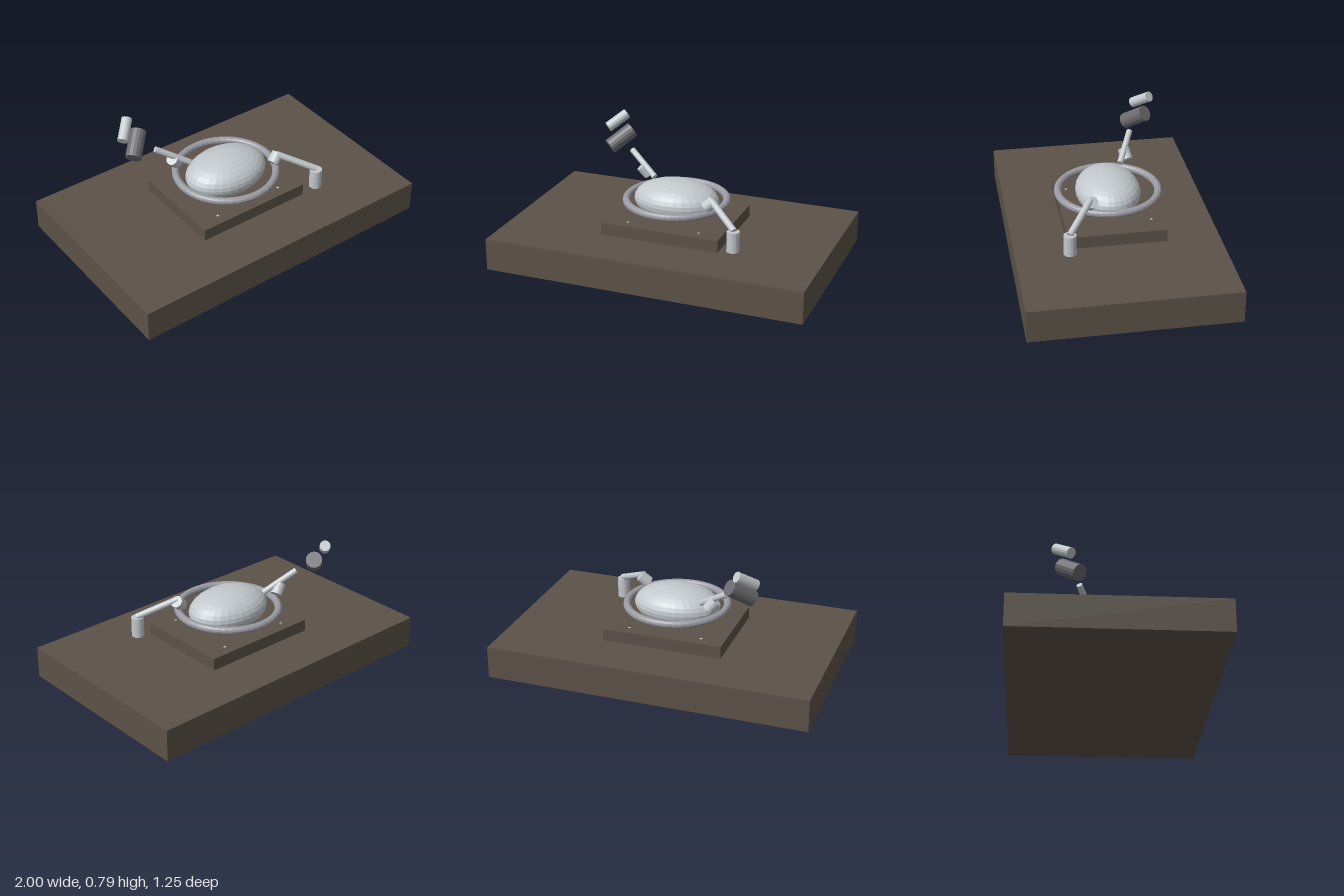
import * as THREE from 'three';

const material = (name, color) => {
  const m = new THREE.MeshStandardMaterial({ color });
  m.name = name;
  return m;
};

// Faceted copy of a geometry
const faceted = (geometry) => {
  const g = geometry.toNonIndexed();
  g.computeVertexNormals();
  return g;
};

export function createModel() {
  const model = new THREE.Group();
  model.name = 'model';

  const brown = material('dark brown', 0x5c5248);
  const light = material('light grey', 0xc2c8cc);
  const ringGrey = material('ring grey', 0x9a9aa2);
  const dark = material('dark grey', 0x6b6a6e);

  const add = (parent, name, geometry, mat, x = 0, y = 0, z = 0) => {
    const mesh = new THREE.Mesh(geometry, mat);
    mesh.name = name;
    mesh.position.set(x, y, z);
    parent.add(mesh);
    return mesh;
  };

  // Cylinder running between two points
  const rod = (parent, name, from, to, radius, mat) => {
    const a = new THREE.Vector3(...from);
    const b = new THREE.Vector3(...to);
    const axis = b.clone().sub(a);
    const geometry = faceted(new THREE.CylinderGeometry(radius, radius, axis.length(), 16));
    const mesh = add(parent, name, geometry, mat);
    mesh.position.copy(a).add(b).multiplyScalar(0.5);
    mesh.quaternion.setFromUnitVectors(new THREE.Vector3(0, 1, 0), axis.normalize());
    return mesh;
  };

  const group = (name) => {
    const g = new THREE.Group();
    g.name = name;
    model.add(g);
    return g;
  };

  // Stepped base
  add(model, 'base', new THREE.BoxGeometry(2, 0.2, 1.25), brown, 0, 0.1, 0);
  add(model, 'plinth', new THREE.BoxGeometry(0.75, 0.076, 0.6), brown, 0, 0.238, 0);

  // Flattened body sunk slightly into the plinth
  const body = new THREE.SphereGeometry(1, 32, 16).scale(0.27, 0.125, 0.2);
  add(model, 'body', faceted(body), light, 0, 0.376, 0);

  // Ring around the body
  const ring = new THREE.TorusGeometry(0.31, 0.023, 12, 48).rotateX(Math.PI / 2);
  add(model, 'ring', faceted(ring), ringGrey, 0, 0.378, 0);

  // Small feet flush with the plinth, under the ring
  for (const x of [-0.23, 0.23]) {
    for (const z of [-0.23, 0.23]) {
      rod(model, 'foot', [x, 0.24, z], [x, 0.2765, z], 0.008, light);
    }
  }

  // Lowered front arm with a hanging end piece
  const frontArm = group('frontArm');
  rod(frontArm, 'frontJoint', [0.245, 0.415, 0.155], [0.295, 0.46, 0.14], 0.037, light);
  rod(frontArm, 'frontRod', [0.275, 0.467, 0.15], [0.478, 0.357, 0.303], 0.02, light);
  rod(frontArm, 'frontEnd', [0.472, 0.228, 0.302], [0.472, 0.354, 0.302], 0.039, light);

  // Raised rear arm with two separate cylinders above it
  const rearArm = group('rearArm');
  rod(rearArm, 'rearJoint', [-0.25, 0.445, -0.165], [-0.295, 0.5, -0.15], 0.037, light);
  rod(rearArm, 'rearRod', [-0.19, 0.455, -0.11], [-0.38, 0.58, -0.203], 0.019, light);
  rod(rearArm, 'largeCylinder', [-0.535, 0.58, -0.205], [-0.425, 0.675, -0.31], 0.05, dark);
  rod(rearArm, 'smallCylinder', [-0.57, 0.69, -0.258], [-0.478, 0.765, -0.348], 0.033, light);

  return model;
}
